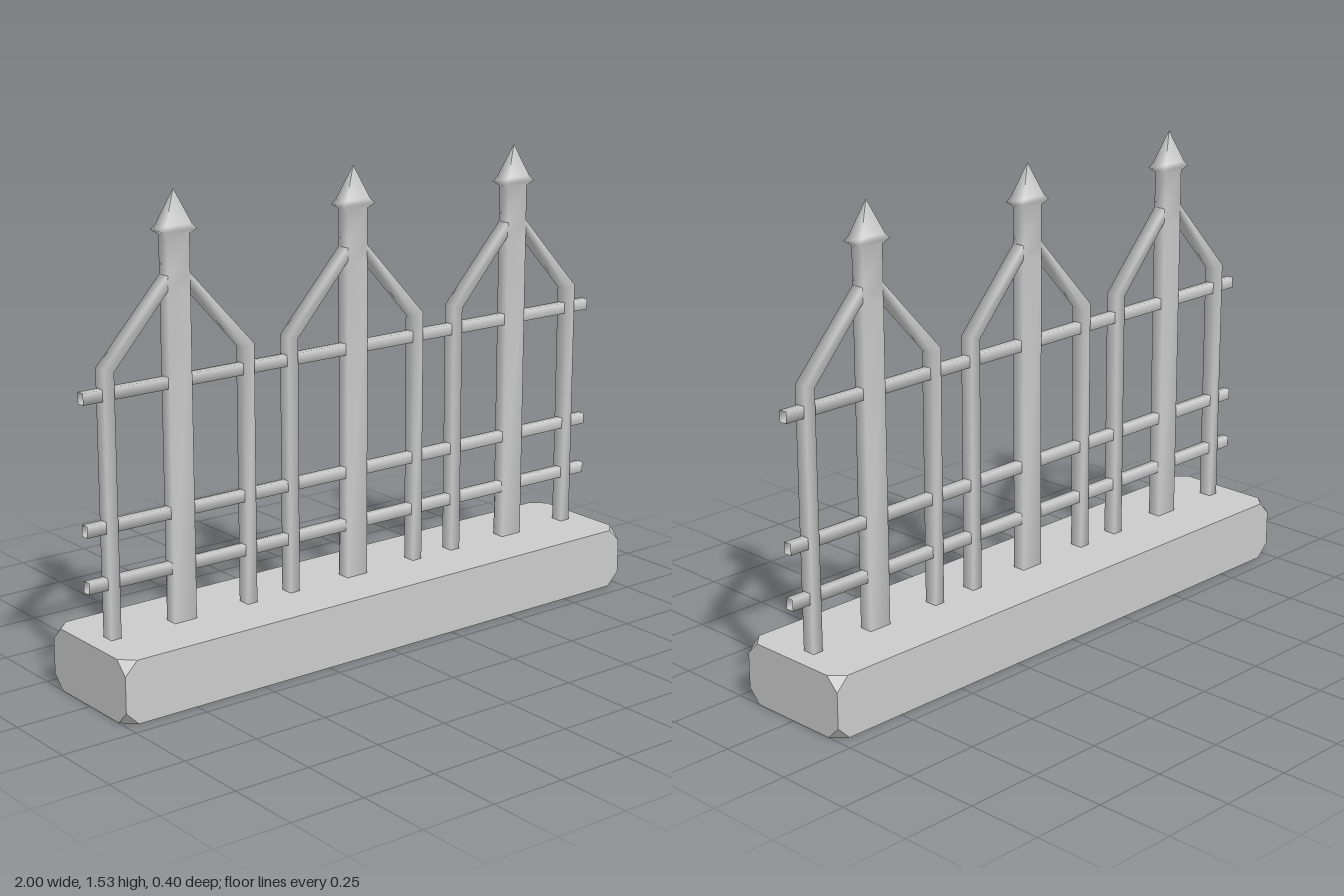
import * as THREE from 'three';
import { ConvexGeometry } from 'three/addons/geometries/ConvexGeometry.js';

const metal = new THREE.MeshStandardMaterial({ color: 0xcccccc, side: THREE.DoubleSide });
const stone = new THREE.MeshStandardMaterial({ color: 0xcccccc, flatShading: true });

// Open four-sided tube through rings [ax, ay, bx, by, halfDepth], smoothly shaded.
function loft(rings) {
  const positions = [], index = [];
  rings.forEach(([ax, ay, bx, by, d], r) => {
    positions.push(ax, ay, d, bx, by, d, bx, by, -d, ax, ay, -d);
    if (r === rings.length - 1) return;
    for (let i = 0; i < 4; i++) {
      const p = r * 4 + i, q = r * 4 + (i + 1) % 4;
      index.push(p, q, q + 4, p, q + 4, p + 4);
    }
  });
  const geometry = new THREE.BufferGeometry();
  geometry.setAttribute('position', new THREE.Float32BufferAttribute(positions, 3));
  geometry.setIndex(index);
  geometry.computeVertexNormals();
  return geometry;
}

function addMesh(parent, name, geometry, material = metal) {
  const mesh = new THREE.Mesh(geometry, material);
  mesh.name = name;
  parent.add(mesh);
  return mesh;
}

// Block with its eight corners cut off.
function baseGeometry(w, h, d, cut) {
  const points = [];
  for (const sx of [-1, 1]) for (const sy of [-1, 1]) for (const sz of [-1, 1]) {
    for (let axis = 0; axis < 3; axis++) {
      const p = new THREE.Vector3(sx * w / 2, sy * h / 2, sz * d / 2);
      p.setComponent(axis, p.getComponent(axis) - [sx, sy, sz][axis] * cut);
      points.push(p);
    }
  }
  return new ConvexGeometry(points);
}

// Post with a flared spear head: [height, half width, half depth]
const postProfile = [
  [0.2, 0.04, 0.022], [1.23, 0.04, 0.022], [1.28, 0.04, 0.022], [1.395, 0.04, 0.022],
  [1.41, 0.06, 0.034], [1.425, 0.046, 0.028], [1.53, 0, 0],
];

// Side bar that bends in to the post: inner x, y, outer x, y
const barRings = [
  [0.232, 0.2, 0.268, 0.2], [0.232, 1.02, 0.268, 1.03], [0.038, 1.235, 0.038, 1.28],
];

export function createModel() {
  const fence = new THREE.Group();
  fence.name = 'fence';

  addMesh(fence, 'base', baseGeometry(2, 0.2, 0.4, 0.043), stone).position.y = 0.1;

  // Horizontal rails
  for (const y of [0.375, 0.55, 0.953]) {
    const rail = [-1, 1].map((x) => [x, y + 0.018, x, y - 0.018, 0.014]);
    addMesh(fence, 'rail', loft(rail));
  }

  // Three pickets, each a post with two side bars
  for (const x of [-0.665, 0, 0.665]) {
    const picket = new THREE.Group();
    picket.name = 'picket';
    picket.position.x = x;
    fence.add(picket);
    addMesh(picket, 'post', loft(postProfile.map(([y, w, d]) => [-w, y, w, y, d])));
    addMesh(picket, 'leftBar', loft(barRings.map(([ix, iy, ox, oy]) => [ix, iy, ox, oy, 0.022])));
    addMesh(picket, 'rightBar', loft(barRings.map(([ix, iy, ox, oy]) => [-ox, oy, -ix, iy, 0.022])));
  }
  return fence;
}
